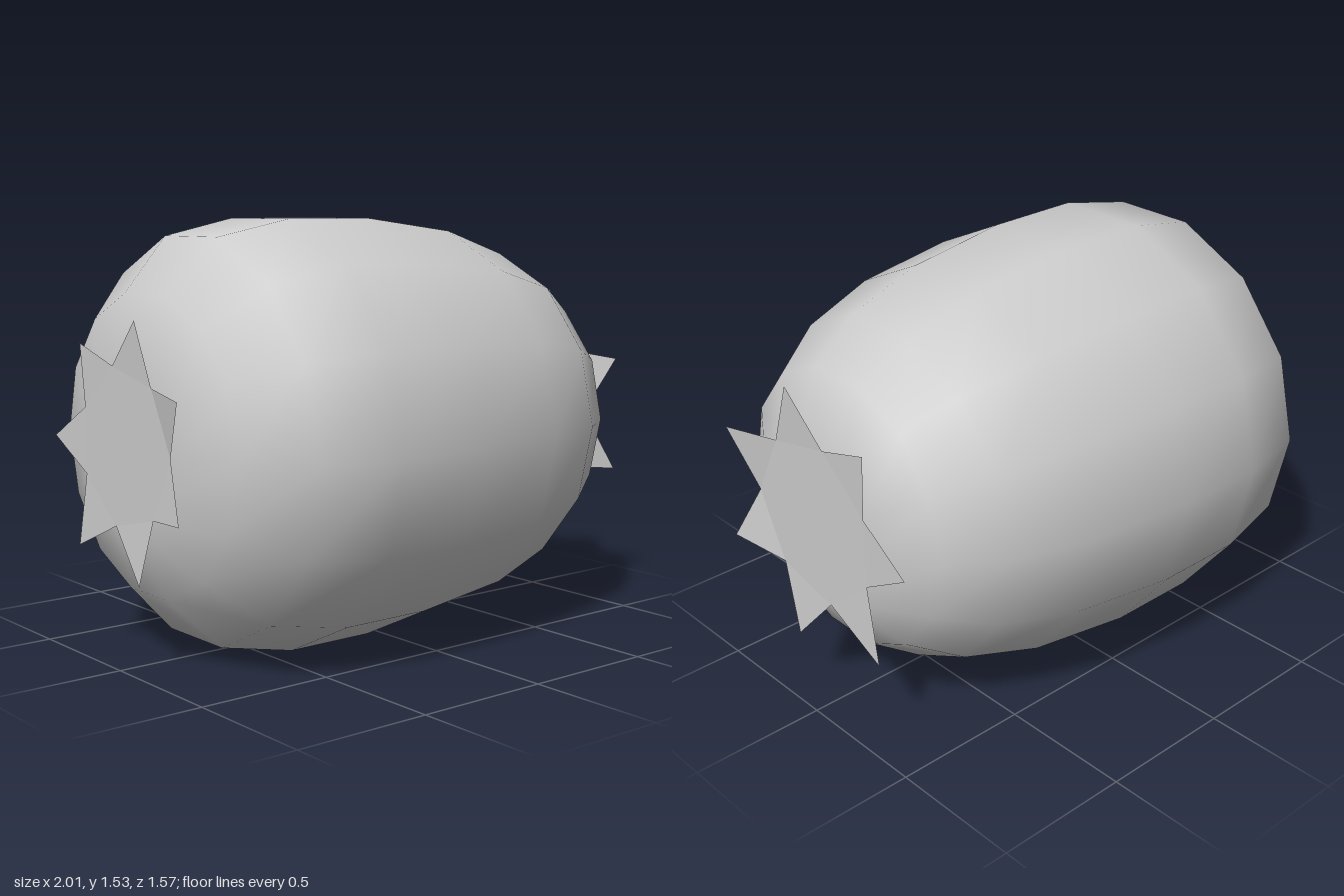
import * as THREE from 'three';

const CENTRE_Y = 0.764;

// Star tips as [z, y from the axis, outward curl], and the notches between them
const TIPS = [
  [0.10, 0.474, 0.01], [-0.30, 0.366, 0.006], [-0.495, -0.005, 0.01], [-0.335, -0.414, 0.006],
  [0.11, -0.497, 0.014], [0.43, -0.22, 0.043], [0.43, 0.215, 0.043],
];
const NOTCHES = [
  [-0.075, 0.297], [-0.28, 0.125], [-0.28, -0.13], [-0.07, -0.3],
  [0.19, -0.24], [0.31, 0], [0.19, 0.238],
];

// Flat centre fan with a slightly curled triangle for every point
function starGeometry(x, side, scale) {
  const pos = [];
  const put = ([z, y, curl = 0]) => pos.push(x + side * curl, y * scale, z * scale);
  const n = TIPS.length;
  for (let i = 0; i < n; i++) {
    const before = NOTCHES[(i + n - 1) % n], after = NOTCHES[i];
    const fan = [[0, 0], before, after], point = [before, TIPS[i], after];
    for (const tri of [fan, point]) (side > 0 ? tri : tri.reverse()).forEach(put);
  }
  const geo = new THREE.BufferGeometry();
  geo.setAttribute('position', new THREE.Float32BufferAttribute(pos, 3));
  geo.computeVertexNormals();
  return geo;
}

export function createModel() {
  const group = new THREE.Group();
  const smooth = new THREE.MeshStandardMaterial({ color: 0xcccccc });
  const thin = new THREE.MeshStandardMaterial({ color: 0xcccccc, flatShading: true, side: THREE.DoubleSide });

  // Barrel-like body, fuller toward -x: [radius, x]
  const profile = [
    [0, -0.962], [0.29, -0.955], [0.528, -0.88], [0.722, -0.69], [0.783, -0.4], [0.783, -0.05],
    [0.732, 0.35], [0.64, 0.64], [0.51, 0.83], [0.31, 0.95], [0, 0.952],
  ].map(([r, x]) => new THREE.Vector2(r, x));
  const body = new THREE.Mesh(new THREE.LatheGeometry(profile, 14).rotateZ(-Math.PI / 2), smooth);
  body.name = 'body';
  body.position.y = CENTRE_Y;
  group.add(body);

  // Star-shaped leaf caps on both ends
  for (const [name, x, side, scale] of [['leftStar', 0.957, 1, 1], ['rightStar', -0.966, -1, 0.92]]) {
    const star = new THREE.Mesh(starGeometry(x, side, scale), thin);
    star.name = name;
    star.position.y = CENTRE_Y;
    group.add(star);
  }
  return group;
}
